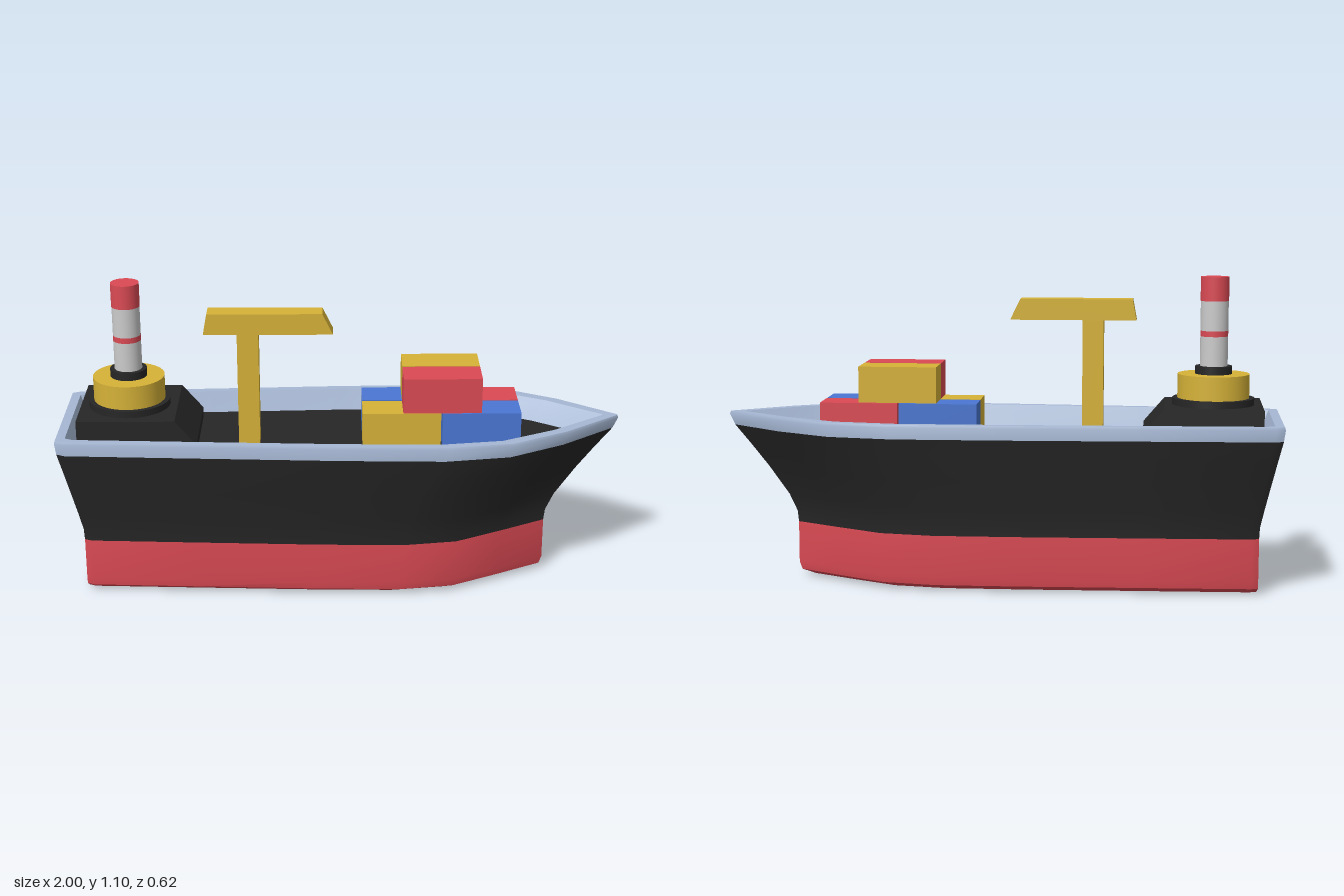
import * as THREE from 'three';
import { toCreasedNormals } from 'three/addons/utils/BufferGeometryUtils.js';

const RED = 0xdb4a54, YELLOW = 0xd6b238, BLUE = 0x4a76d2, BLACK = 0x262626, TRIM = 0xa6b8d4, GREY = 0xcccccc;
const DECK = 0.525;

// Half plan of the hull, stern to bow: [fraction of length, fraction of half width]
const PLAN = [[0, 0.76], [0.015, 0.81], [0.25, 0.89], [0.5, 0.97], [0.685, 1], [0.8, 0.88], [0.9, 0.52]];

// One closed plan outline at height y
function ring([y, x0, x1, w, tip]) {
  const half = [...PLAN, [1, tip]].map(([t, z]) => new THREE.Vector3(x0 + t * (x1 - x0), y, z * w));
  const other = half.map(p => new THREE.Vector3(p.x, y, -p.z)).reverse();
  return [...half, ...other];
}

// Skin joining successive outlines; cap is 'first', 'last' or none
function loft(levels, cap) {
  const rings = levels.map(ring), pos = [], n = rings[0].length;
  const tri = (...pts) => pts.forEach(p => pos.push(p.x, p.y, p.z));
  for (let k = 0; k + 1 < rings.length; k++) {
    for (let i = 0; i < n; i++) {
      const j = (i + 1) % n, a = rings[k], b = rings[k + 1];
      tri(a[i], a[j], b[j]);
      tri(a[i], b[j], b[i]);
    }
  }
  if (cap) {
    const r = cap === 'first' ? rings[0] : rings[rings.length - 1];
    const c = new THREE.Vector3(0, r[0].y, 0);
    for (let i = 0; i < n; i++) {
      const j = (i + 1) % n;
      if (cap === 'first') tri(c, r[j], r[i]); else tri(c, r[i], r[j]);
    }
  }
  const g = new THREE.BufferGeometry();
  g.setAttribute('position', new THREE.Float32BufferAttribute(pos, 3));
  return toCreasedNormals(g, 0.75);
}

// Side profile in x and y, extruded from z0 to z1
function prism(points, z0, z1) {
  const shape = new THREE.Shape(points.map(p => new THREE.Vector2(...p)));
  return new THREE.ExtrudeGeometry(shape, { depth: z1 - z0, bevelEnabled: false }).translate(0, 0, z0);
}

function box(x0, x1, y0, y1, z0, z1) {
  return new THREE.BoxGeometry(x1 - x0, y1 - y0, z1 - z0)
    .translate((x0 + x1) / 2, (y0 + y1) / 2, (z0 + z1) / 2);
}

export function createModel() {
  const ship = new THREE.Group();
  ship.name = 'cargoShip';
  const materials = new Map();
  const add = (name, geometry, color, parent = ship) => {
    if (!materials.has(color)) materials.set(color, new THREE.MeshStandardMaterial({ color }));
    const mesh = new THREE.Mesh(geometry, materials.get(color));
    mesh.name = name;
    parent.add(mesh);
  };

  // Hull levels: [y, stern x, bow x, half width, bluntness of the bow]
  add('lowerHull', loft([
    [0, -0.90, 0.60, 0.16, 0.14],
    [0.006, -0.915, 0.68, 0.215, 0.14],
    [0.022, -0.92, 0.73, 0.24, 0.14],
    [0.05, -0.92, 0.74, 0.245, 0.14],
    [0.2, -0.92, 0.74, 0.245, 0.14]], 'first'), RED);
  add('upperHull', loft([
    [0.2, -0.92, 0.74, 0.245, 0.14],
    [0.24, -0.922, 0.745, 0.247, 0.13],
    [0.3, -0.935, 0.775, 0.257, 0.1],
    [0.4, -0.958, 0.85, 0.278, 0.06],
    [0.48, -0.977, 0.917, 0.294, 0.03],
    [0.55, -0.994, 0.978, 0.308, 0.01]]), BLACK);
  add('bulwark', loft([
    [0.55, -0.994, 0.978, 0.308, 0.01],
    [0.59, -1, 0.997, 0.307, 0.01],
    [0.6, -0.997, 0.993, 0.304, 0.01],
    [0.6, -0.965, 0.94, 0.275, 0.01],
    [DECK, -0.935, 0.88, 0.25, 0.01]]), TRIM);
  add('deck', loft([[DECK - 0.01, -0.935, 0.88, 0.25, 0.01], [DECK, -0.935, 0.88, 0.25, 0.01]], 'last'), BLACK);

  // Stern house and funnel
  const stern = new THREE.Group();
  stern.name = 'sternHouse';
  ship.add(stern);
  add('housing', prism([[-0.93, DECK], [-0.51, DECK], [-0.51, 0.56], [-0.585, 0.648], [-0.93, 0.648]], -0.185, 0.175), BLACK, stern);
  const drums = [
    ['plinth', 0.145, 0.645, 0.672, BLACK],
    ['funnelBase', 0.127, 0.672, 0.757, YELLOW],
    ['collar', 0.065, 0.757, 0.785, BLACK],
    ['funnelLower', 0.049, 0.785, 0.89, GREY],
    ['funnelBand', 0.049, 0.89, 0.91, RED],
    ['funnelUpper', 0.049, 0.91, 1.015, GREY],
    ['funnelTop', 0.05, 1.015, 1.1, RED]];
  for (const [name, r, y0, y1, color] of drums) {
    add(name, new THREE.CylinderGeometry(r, r, y1 - y0, 32).translate(-0.757, (y0 + y1) / 2, -0.003), color, stern);
  }

  // Deck crane
  const crane = new THREE.Group();
  crane.name = 'crane';
  ship.add(crane);
  add('cranePost', box(-0.365, -0.29, DECK, 0.95, 0.024, 0.092), YELLOW, crane);
  add('craneBeam', prism([[-0.482, 0.94], [-0.03, 0.94], [-0.067, 1.015], [-0.468, 1.015]], 0.02, 0.096), YELLOW, crane);

  // Containers: [x start, y start, colour towards +z, colour towards -z]
  const stacks = [[0.074, DECK, YELLOW, BLUE], [0.357, DECK, BLUE, RED], [0.217, 0.655, RED, YELLOW]];
  for (const [x, y, near, far] of stacks) {
    add('container', box(x, x + 0.277, y, y + 0.128, -0.006, 0.121), near);
    add('container', box(x, x + 0.277, y, y + 0.128, -0.142, -0.013), far);
  }
  return ship;
}
